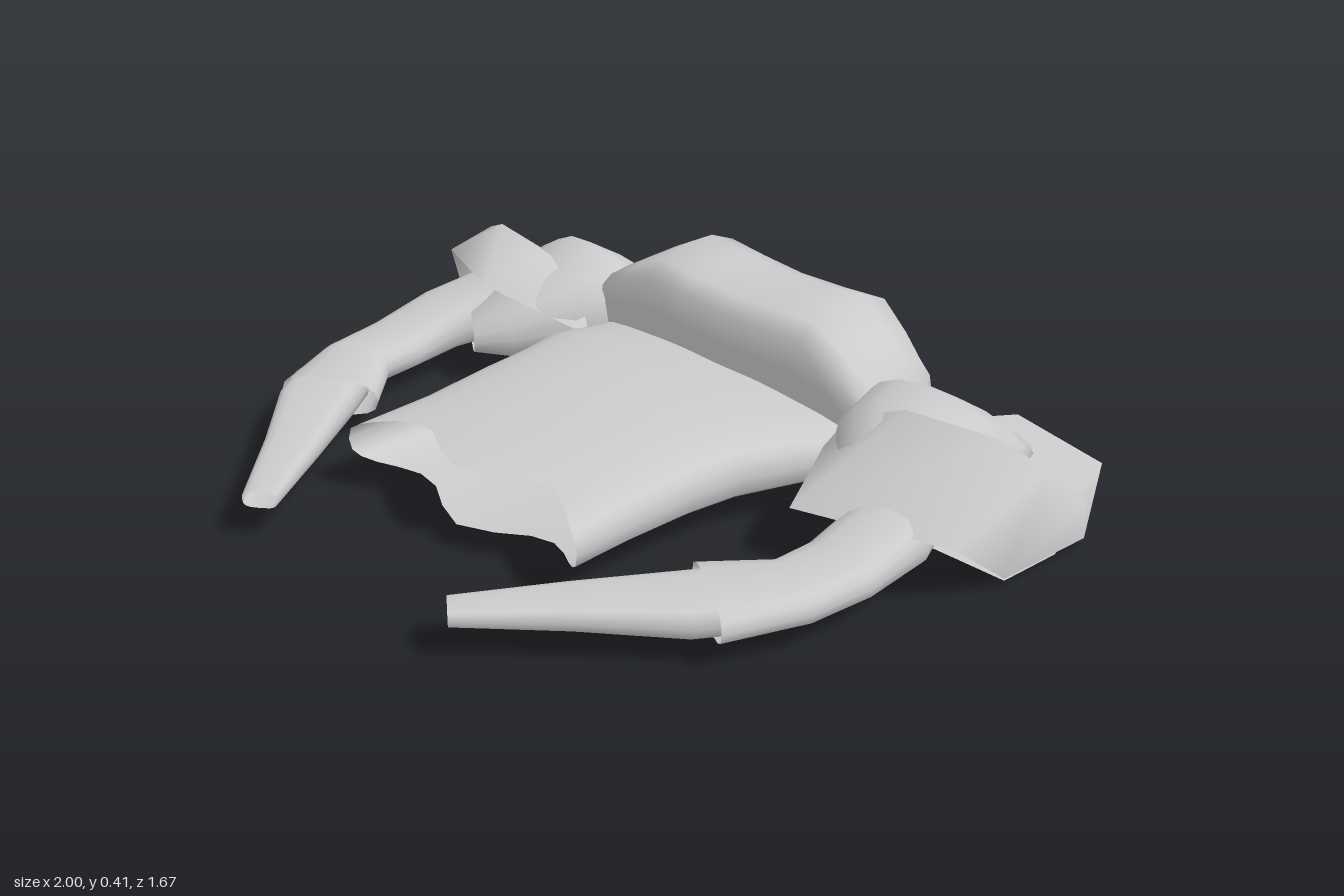
import * as THREE from 'three';

const material = new THREE.MeshStandardMaterial({ color: 0xcccccc, side: THREE.DoubleSide });

// Smooth surface through rows of [x, y, z] points
function loft(name, rows, closed) {
  const n = rows[0].length, index = [];
  const cols = closed ? n : n - 1;
  for (let i = 0; i < rows.length - 1; i++) {
    for (let j = 0; j < cols; j++) {
      const a = i * n + j, b = i * n + (j + 1) % n, c = a + n, d = b + n;
      index.push(a, b, c, b, d, c);
    }
  }
  const geometry = new THREE.BufferGeometry();
  geometry.setAttribute('position', new THREE.Float32BufferAttribute(rows.flat(2), 3));
  geometry.setIndex(index);
  geometry.computeVertexNormals();
  const mesh = new THREE.Mesh(geometry, material);
  mesh.name = name;
  return mesh;
}

const bulge = (v, p) => Math.sign(v) * Math.abs(v) ** p;

// Rounded tube along a path; each step is [x, y, z, half width, half height]
function limb(name, steps, power, sides = 16) {
  const rows = steps.map(([x, y, z, w, h], i) => {
    const a = steps[Math.max(i - 1, 0)], b = steps[Math.min(i + 1, steps.length - 1)];
    const len = Math.hypot(b[0] - a[0], b[2] - a[2]);
    const px = (b[2] - a[2]) / len, pz = -(b[0] - a[0]) / len;
    return Array.from({ length: sides }, (_, k) => {
      const t = k / sides * Math.PI * 2, side = w * bulge(Math.cos(t), power);
      return [x + px * side, y + h * bulge(Math.sin(t), power), z + pz * side];
    });
  });
  return loft(name, rows, true);
}

// Torso shell, open at the waist, closed under the collar: [z, centre x, half width, bottom, top]
function torso() {
  const stations = [
    [0.46, -0.05, 0.385, 0.07, 0.225], [0.3, -0.045, 0.375, 0.056, 0.24],
    [0.12, -0.045, 0.385, 0.05, 0.25], [-0.02, -0.04, 0.4, 0.045, 0.25],
    [-0.16, -0.035, 0.44, 0.038, 0.24], [-0.3, 0, 0.46, 0.04, 0.22],
    [-0.45, 0, 0.46, 0.06, 0.24], [-0.58, 0, 0.4, 0.1, 0.26], [-0.69, 0, 0.23, 0.16, 0.25],
    [-0.65, 0, 0.18, 0.2, 0.24], [-0.63, 0, 0.02, 0.22, 0.23],
  ];
  const rows = stations.map(([z, cx, w, lo, hi], i) =>
    Array.from({ length: 32 }, (_, k) => {
      const t = k / 32 * Math.PI * 2, x = cx + w * bulge(Math.cos(t), 0.9);
      // Ragged hem on the first row
      const zz = i === 0 ? 0.46 - 0.05 * x + 0.045 * Math.cos((x + 0.05) * 15) : z;
      return [x, (lo + hi) / 2 + (hi - lo) / 2 * bulge(Math.sin(t), 0.6), zz];
    }));
  return loft('torso', rows, true);
}

// Raised collar yoke across the shoulders: [x, front z, back z, top y]
function collar() {
  const half = [[0, -0.3, -0.67, 0.402], [0.14, -0.305, -0.68, 0.405], [0.26, -0.305, -0.685, 0.415],
    [0.36, -0.31, -0.645, 0.36], [0.44, -0.315, -0.605, 0.31], [0.47, -0.35, -0.54, 0.22]];
  const all = [...half.slice(1).reverse().map(([x, ...r]) => [-x, ...r]), ...half];
  const profile = [[0, 0], [0, 0.45], [0.03, 0.8], [0.14, 0.96], [0.4, 1], [0.64, 1], [0.85, 0.85],
    [0.97, 0.5], [1, 0.25], [0.97, 0]];
  return loft('collar', all.map(([x, f, b, top]) =>
    profile.map(([u, v]) => [x, 0.18 + (top - 0.18) * v, f + (b - f) * u])), false);
}

// Flared shoulder guard: three rings running outward from the shoulder
function shoulderGuard(s) {
  const middle = [[0.45, 0.25, -0.28], [0.62, 0.34, -0.27], [0.84, 0.335, -0.32], [0.95, 0.28, -0.37],
    [1, 0.18, -0.46], [0.87, 0.08, -0.6], [0.58, 0.09, -0.65], [0.47, 0.13, -0.6]];
  // The front edge is lifted higher over the right arm
  const front = s > 0 ? [[0.52, 0.15, 0], [0.91, 0.17, -0.1]] : [[0.66, 0.28, -0.1], [0.92, 0.27, -0.2]];
  const rim = [[0.42, 0.18, -0.23], ...front, [0.93, 0.03, -0.27],
    [0.95, 0.025, -0.55], [0.83, 0.08, -0.79], [0.55, 0.09, -0.83], [0.48, 0.11, -0.62]];
  const c = [0.6, 0.3, -0.4];
  const inner = middle.map(p => p.map((v, i) => i === 1 ? 0.5 * v + 0.12 : c[i] + (v - c[i]) * 0.5));
  const rows = [inner, middle, rim].map(r => r.map(([x, y, z]) => [s * x, y, z]));
  return loft('shoulderGuard', rows, true);
}

// Lower flap beneath the shoulder
function underFlap(s) {
  const rows = [
    [[0.42, 0.08, -0.22], [0.5, 0.06, -0.45], [0.5, 0.08, -0.62]],
    [[0.55, 0.05, -0.22], [0.58, 0.03, -0.45], [0.55, 0.01, -0.64]],
    [[0.93, 0.025, -0.27], [0.94, 0.02, -0.45], [0.87, 0, -0.64]],
  ];
  return loft('underFlap', rows.map(r => r.map(([x, y, z]) => [s * x, y, z])), false);
}

function arm(s) {
  const group = new THREE.Group();
  group.name = s > 0 ? 'leftArm' : 'rightArm';
  // Below the shoulder the right arm sits further out and forward
  const place = (steps, dx, dz) => steps.map(([x, y, z, w, h]) =>
    [s > 0 ? x : -x - dx, y, s > 0 ? z : z + dz, w, h]);

  group.add(limb('shoulder', place([
    [0.57, 0.13, -0.615, 0.1, 0.02], [0.57, 0.14, -0.6, 0.175, 0.05], [0.58, 0.16, -0.52, 0.2, 0.105],
    [0.58, 0.185, -0.41, 0.2, 0.15], [0.6, 0.185, -0.32, 0.185, 0.145], [0.67, 0.15, -0.17, 0.13, 0.085],
    [0.72, 0.13, -0.1, 0.09, 0.05],
  ], 0, 0), 0.9));
  group.add(limb('sleeve', place([
    [0.67, 0.16, -0.24, 0.11, 0.08], [0.725, 0.13, -0.1, 0.105, 0.065],
    [0.725, 0.108, 0.06, 0.1, 0.05], [0.71, 0.108, 0.2, 0.1, 0.047], [0.61, 0.107, 0.36, 0.13, 0.05],
  ], 0.1, 0.02), 0.75));
  group.add(limb('forearm', place([
    [0.64, 0.1, 0.3, 0.1, 0.042], [0.58, 0.1, 0.39, 0.1, 0.042],
    [0.42, 0.107, 0.58, 0.07, 0.032], [0.26, 0.112, 0.785, 0.042, 0.022],
  ], 0.135, 0.025), 0.6));
  group.add(shoulderGuard(s), underFlap(s));
  return group;
}

export function createModel() {
  const model = new THREE.Group();
  model.name = 'jacket';
  model.add(torso(), collar(), arm(1), arm(-1));
  return model;
}
